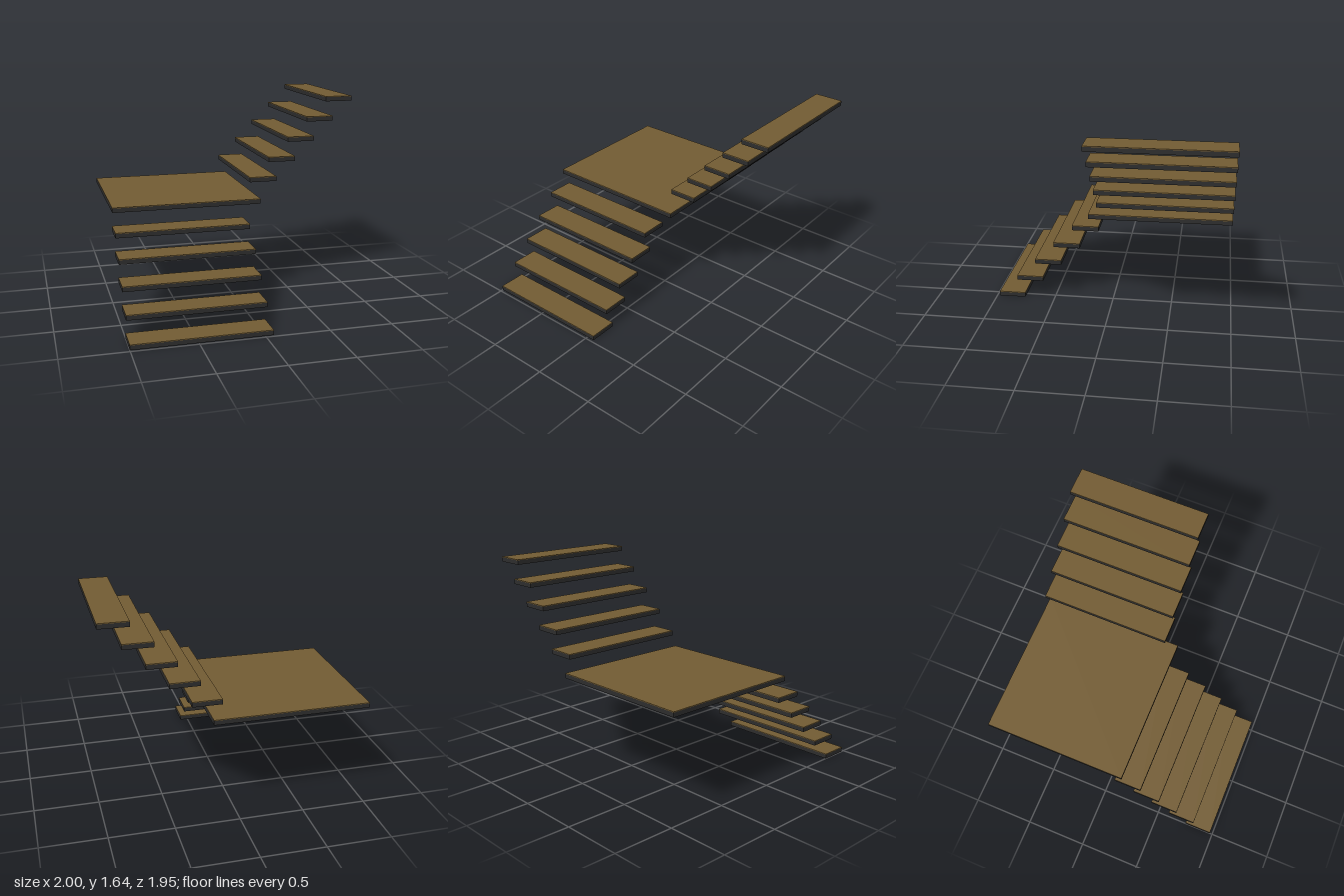
import * as THREE from 'three';

const THICK = 0.04;   // full slab thickness
const BOARD = 0.006;  // wooden covering on top
const RISE = 0.16;
const GOING = 0.16;

const wood = new THREE.MeshStandardMaterial({ name: 'brown wood', color: 0x735c33 });
const steel = new THREE.MeshStandardMaterial({ name: 'dark steel', color: 0x2d2d2d });

// A dark slab with a thin wooden board on top, given by its extents
function slab(name, x0, x1, y0, z0, z1) {
  const group = new THREE.Group();
  group.name = name;
  const add = (part, height, y, material) => {
    const mesh = new THREE.Mesh(new THREE.BoxGeometry(x1 - x0, height, z1 - z0), material);
    mesh.name = part;
    mesh.position.set((x0 + x1) / 2, y + height / 2, (z0 + z1) / 2);
    group.add(mesh);
  };
  add('slabBase', THICK - BOARD, y0, steel);
  add('slabBoard', BOARD, y0 + THICK - BOARD, wood);
  return group;
}

export function createModel() {
  const model = new THREE.Group();
  model.name = 'quarterTurnStairs';

  // Lower flight climbs towards the back
  for (let i = 0; i < 5; i++) {
    const front = 0.977 - i * GOING;
    model.add(slab(`lowerTread${i + 1}`, -1, 0.065, i * RISE, front - 0.223, front));
  }

  // Square landing
  model.add(slab('landing', -1, 0.2, 5 * RISE, -0.977, 0.178));

  // Upper flight climbs towards +x
  for (let i = 0; i < 5; i++) {
    const start = 0.136 + i * GOING;
    model.add(slab(`upperTread${i + 1}`, start, start + 0.224, (6 + i) * RISE, -0.977, 0.086));
  }
  return model;
}
